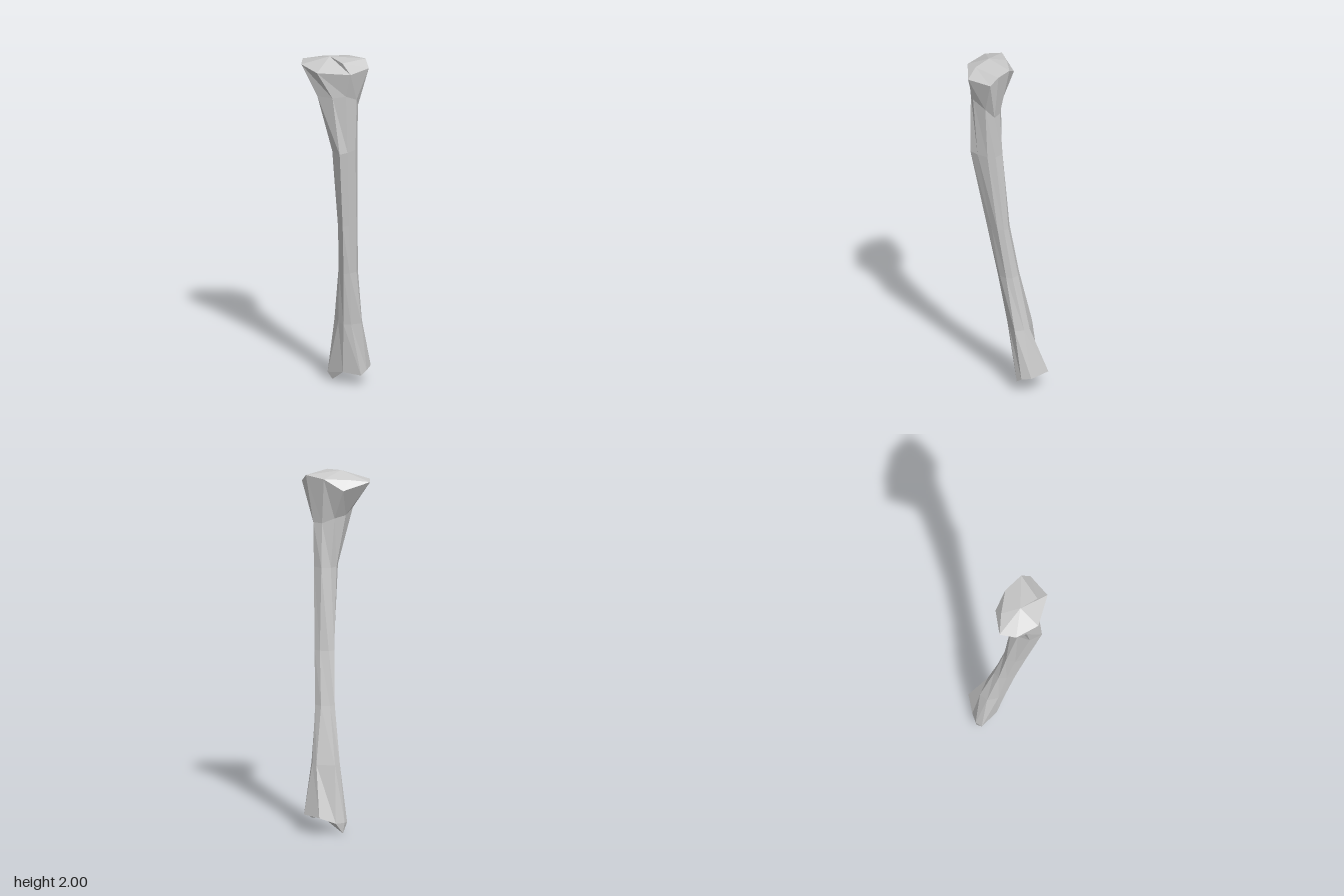
import * as THREE from 'three';

// Every ring has 8 corners, counter-clockwise about +y:
// front, front-left, left, back-left, back, back-right, right, front-right.
const SIDES = 8;

// Ring lying level at height y, from x,z pairs.
const level = (y, xz) => xz.map(([x, z]) => [x, y, z]);

// Copy of a ring with some corners moved.
const reshape = (ring, moved) => ring.map((p, i) => moved[i] ?? p);

// Skin rings listed from top to bottom; optional fan points close the ends.
function loft(name, rings, { top, bottom } = {}) {
  const pos = [];
  const tri = (a, b, c) => {
    const [A, B, C] = [a, b, c].map((p) => new THREE.Vector3(...p));
    if (new THREE.Triangle(A, B, C).getArea() > 1e-6) pos.push(...a, ...b, ...c);
  };
  for (let i = 0; i < SIDES; i++) {
    const j = (i + 1) % SIDES;
    for (let r = 0; r + 1 < rings.length; r++) {
      const up = rings[r], low = rings[r + 1];
      tri(up[i], low[i], low[j]);
      tri(up[i], low[j], up[j]);
    }
    if (top) tri(top, rings[0][i], rings[0][j]);
    const last = rings[rings.length - 1];
    if (bottom) tri(bottom, last[j], last[i]);
  }
  const geometry = new THREE.BufferGeometry();
  geometry.setAttribute('position', new THREE.Float32BufferAttribute(pos, 3));
  geometry.computeVertexNormals();
  const material = new THREE.MeshStandardMaterial({ color: 0xcccccc, flatShading: true });
  const mesh = new THREE.Mesh(geometry, material);
  mesh.name = name;
  return mesh;
}

export function createModel() {
  // Broad rim of the knee end
  const rim = [
    [-0.05, 1.94, 0.232], [0.135, 1.94, 0.197], [0.193, 1.94, 0.062], [0.16, 1.98, 0.022],
    [0.047, 1.97, -0.02], [-0.065, 1.91, -0.025], [-0.195, 1.95, 0.065], [-0.17, 1.95, 0.155],
  ];
  // Raised plateau inside the rim
  const peak = [-0.02, 2, 0.107];
  const plateau = reshape(rim, {
    0: peak, 1: [0.075, 1.99, 0.165], 2: rim[3], 5: [-0.085, 1.965, 0.02],
  });
  // Neck where the knee end narrows into the shaft
  const neck = [
    [0.03, 1.79, 0.2], [0.1, 1.8, 0.175], [0.135, 1.76, 0.1], [0.125, 1.71, 0.05],
    [0.07, 1.71, 0.03], [0, 1.74, 0.035], [-0.05, 1.75, 0.09], [-0.07, 1.78, 0.17],
  ];

  // Shaft sections, with the sharp crest at the front
  const shaft = [
    level(1.46, [[0.07, 0.195], [0.1, 0.15], [0.125, 0.09], [0.12, 0.045],
      [0.07, 0.015], [0.02, 0.03], [0, 0.08], [0.01, 0.15]]),
    level(1.0, [[0.055, 0.105], [0.08, 0.075], [0.11, 0.035], [0.105, 0],
      [0.07, -0.018], [0.02, -0.015], [-0.005, 0.01], [0.01, 0.06]]),
    level(0.7, [[0.04, 0.048], [0.07, 0.03], [0.095, -0.01], [0.09, -0.045],
      [0.05, -0.07], [0, -0.065], [-0.018, -0.03], [0, 0.01]]),
    level(0.38, [[0.02, -0.005], [0.06, -0.02], [0.107, -0.06], [0.09, -0.11],
      [0.06, -0.135], [-0.045, -0.13], [-0.06, -0.08], [-0.02, -0.03]]),
  ];

  // Flared ankle end
  const ankle = [
    [0, 0.08, -0.05], [0.1, 0.065, -0.07], [0.122, 0.09, -0.1], [0.125, 0.1, -0.157],
    [0.018, 0.1, -0.233], [-0.06, 0.06, -0.17], [-0.1, 0.06, -0.13], [-0.104, 0.055, -0.09],
  ];
  // Pointed knob hanging below the right side of the ankle
  const knob = reshape(ankle, { 6: [-0.09, 0, -0.13] });

  const group = new THREE.Group();
  group.name = 'shinBone';
  group.add(
    loft('kneeEnd', [plateau, rim, neck], { top: peak }),
    loft('shaft', [neck, ...shaft]),
    loft('ankleEnd', [shaft[3], ankle, knob], { bottom: [0.02, 0.085, -0.14] }),
  );
  return group;
}
